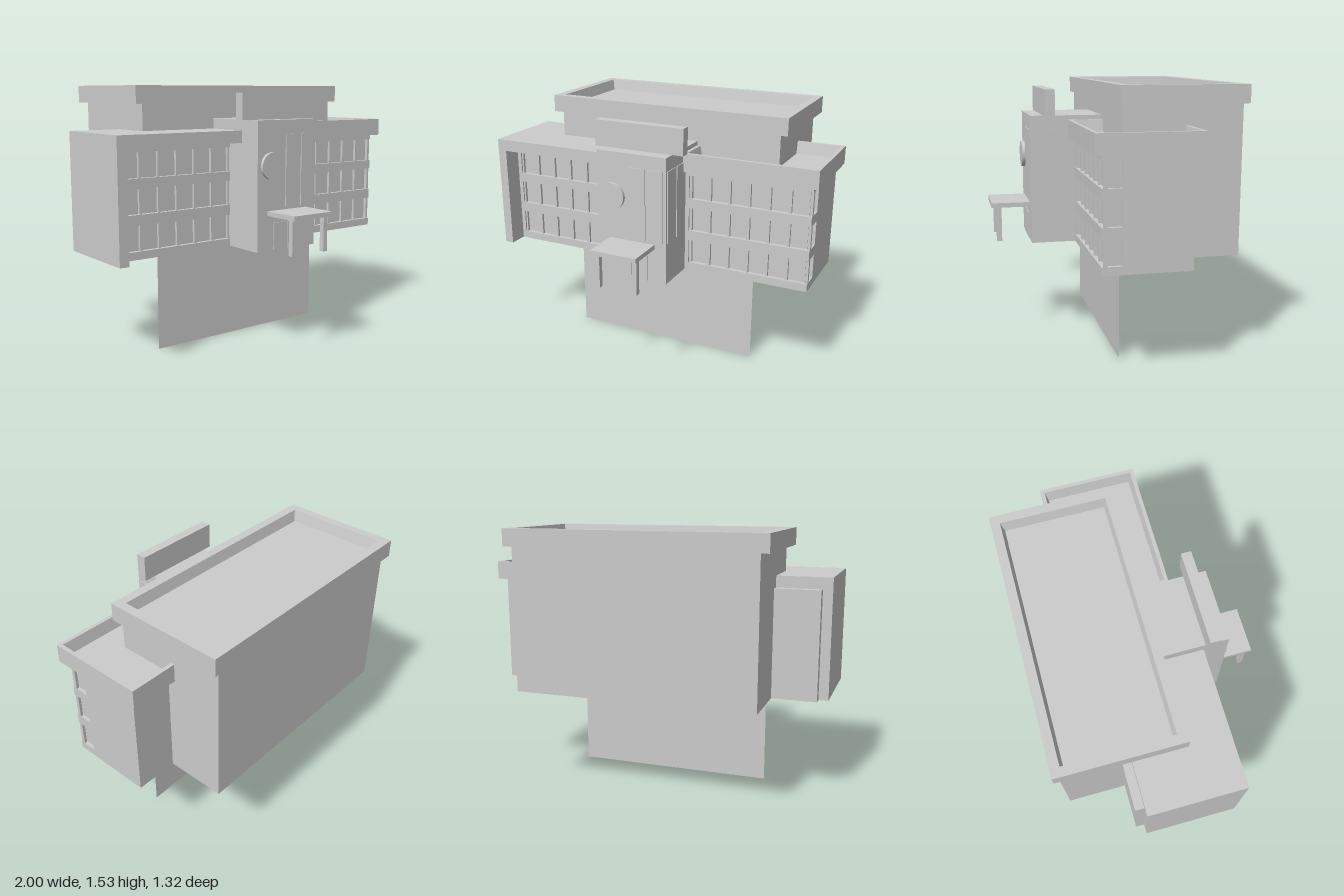
import * as THREE from 'three';

const mat = new THREE.MeshStandardMaterial({ color: 0xcccccc, flatShading: true });

export function createModel() {
  const root = new THREE.Group();

  const add = (parent, name, geo, material = mat) => {
    const m = new THREE.Mesh(geo, material);
    m.name = name;
    parent.add(m);
    return m;
  };

  // Box given by its limits on each axis
  const box = (parent, name, x0, x1, y0, y1, z0, z1) => {
    const m = add(parent, name, new THREE.BoxGeometry(x1 - x0, y1 - y0, z1 - z0));
    m.position.set((x0 + x1) / 2, (y0 + y1) / 2, (z0 + z1) / 2);
    return m;
  };

  // Roof tray: rectangles of changing inset joined bottom, rim, then sunken floor
  const tray = (name, x0, x1, z0, z1, y0, y1, rim, floorY) => {
    const steps = [[0, y0], [0, y1], [rim, y1], [rim + 0.014, floorY]];
    const pos = [], idx = [];
    for (const [d, y] of steps) {
      pos.push(x0 + d, y, z1 - d, x1 - d, y, z1 - d, x1 - d, y, z0 + d, x0 + d, y, z0 + d);
    }
    for (let s = 0; s < steps.length - 1; s++) {
      for (let i = 0; i < 4; i++) {
        const a = s * 4 + i, b = s * 4 + (i + 1) % 4;
        idx.push(a, b, b + 4, a, b + 4, a + 4);
      }
    }
    const t = (steps.length - 1) * 4;
    idx.push(0, 2, 1, 0, 3, 2, t, t + 1, t + 2, t, t + 2, t + 3);
    const g = new THREE.BufferGeometry();
    g.setAttribute('position', new THREE.Float32BufferAttribute(pos, 3));
    g.setIndex(idx);
    const flat = g.toNonIndexed();
    flat.computeVertexNormals();
    add(root, name, flat);
  };

  const rows = [[0.645, 0.785], [0.845, 0.985], [1.04, 1.18]];
  const front = 0.18, glass = 0.155, back = -0.3;

  // Facade bands between the window rows, with slim mullions in each row
  const facade = (parent, x0, x1, barStart, zBack) => {
    const edges = [0.6, ...rows.flat(), 1.21];
    for (let i = 0; i < edges.length; i += 2) {
      box(parent, 'wallBand', x0, x1, edges[i], edges[i + 1], zBack, front);
    }
    for (const [y0, y1] of rows) {
      for (let i = 0; i < 7; i++) {
        const x = barStart + i * 0.1175;
        box(parent, 'mullion', x, x + 0.016, y0, y1, glass - 0.005, 0.171);
      }
    }
  };

  // Main block with its sunken roof
  box(root, 'mainBlock', -0.69, 0.72, 0.6, 1.43, -0.64, 0.02);
  tray('mainRoof', -0.74, 0.765, -0.66, 0.04, 1.43, 1.53, 0.052, 1.465);

  // Wing on the model's left: windows wrap round the outer corner
  const leftWing = new THREE.Group();
  leftWing.name = 'leftWing';
  root.add(leftWing);
  box(leftWing, 'core', 0.2, 0.945, 0.6, 1.21, back, glass);
  box(leftWing, 'sideWall', 0.945, 0.965, 0.6, 1.21, back, 0.073);
  box(leftWing, 'innerJamb', 0.2, 0.245, 0.6, 1.21, glass, front);
  facade(leftWing, 0.2, 0.965, 0.245, 0.073);
  tray('leftWingRoof', 0.22, 1, -0.345, 0.22, 1.21, 1.315, 0.022, 1.245);

  // Wing on the model's right: body set back under a roof and end wall
  const rightWing = new THREE.Group();
  rightWing.name = 'rightWing';
  root.add(rightWing);
  box(rightWing, 'core', -0.945, -0.2, 0.6, 1.215, back, glass);
  box(rightWing, 'outerJamb', -0.95, -0.92, 0.6, 1.21, glass, front);
  facade(rightWing, -0.95, -0.2, -0.925, 0.1);
  box(rightWing, 'endWall', -1, -0.945, 0.6, 1.28, -0.25, 0.295);
  box(rightWing, 'roof', -0.95, -0.2, 1.21, 1.28, -0.25, 0.295);

  // Entrance tower with raised crest
  const tower = new THREE.Group();
  tower.name = 'tower';
  root.add(tower);
  box(tower, 'towerBody', -0.208, 0.222, 0.6, 1.34, -0.1, 0.435);
  box(tower, 'crest', -0.257, 0.288, 1.34, 1.49, 0.302, 0.36);

  // Tall windows on the front and on the side
  for (const [a, b] of [[-0.005, 0.095], [0.11, 0.2]]) {
    box(tower, 'tallWindow', a, b, 0.845, 1.262, 0.42, 0.441);
  }
  for (const [a, b] of [[0.2, 0.302], [0.32, 0.42]]) {
    box(tower, 'sideWindow', 0.2, 0.227, 0.845, 1.262, a, b);
  }

  // Round disc on the tower front
  const smooth = new THREE.MeshStandardMaterial({ color: 0xcccccc });
  const disc = add(tower, 'roundDisc', new THREE.CylinderGeometry(0.077, 0.077, 0.025, 40), smooth);
  disc.rotation.x = Math.PI / 2;
  disc.position.set(-0.11, 1.085, 0.4425);

  // Porch: canopy, posts and double door
  const porch = new THREE.Group();
  porch.name = 'porch';
  root.add(porch);
  box(porch, 'canopy', -0.135, 0.15, 0.803, 0.83, 0.43, 0.66);
  for (const x of [-0.122, 0.112]) box(porch, 'post', x, x + 0.028, 0.6, 0.803, 0.602, 0.632);
  for (const x of [-0.092, 0.014]) box(porch, 'door', x, x + 0.094, 0.605, 0.76, 0.42, 0.44);

  // Thin upright panel below the building
  const thin = new THREE.MeshStandardMaterial({ color: 0xcccccc, side: THREE.DoubleSide });
  const panel = add(root, 'standPanel', new THREE.PlaneGeometry(1.19, 0.62), thin);
  panel.position.set(-0.003, 0.31, 0);

  return root;
}
